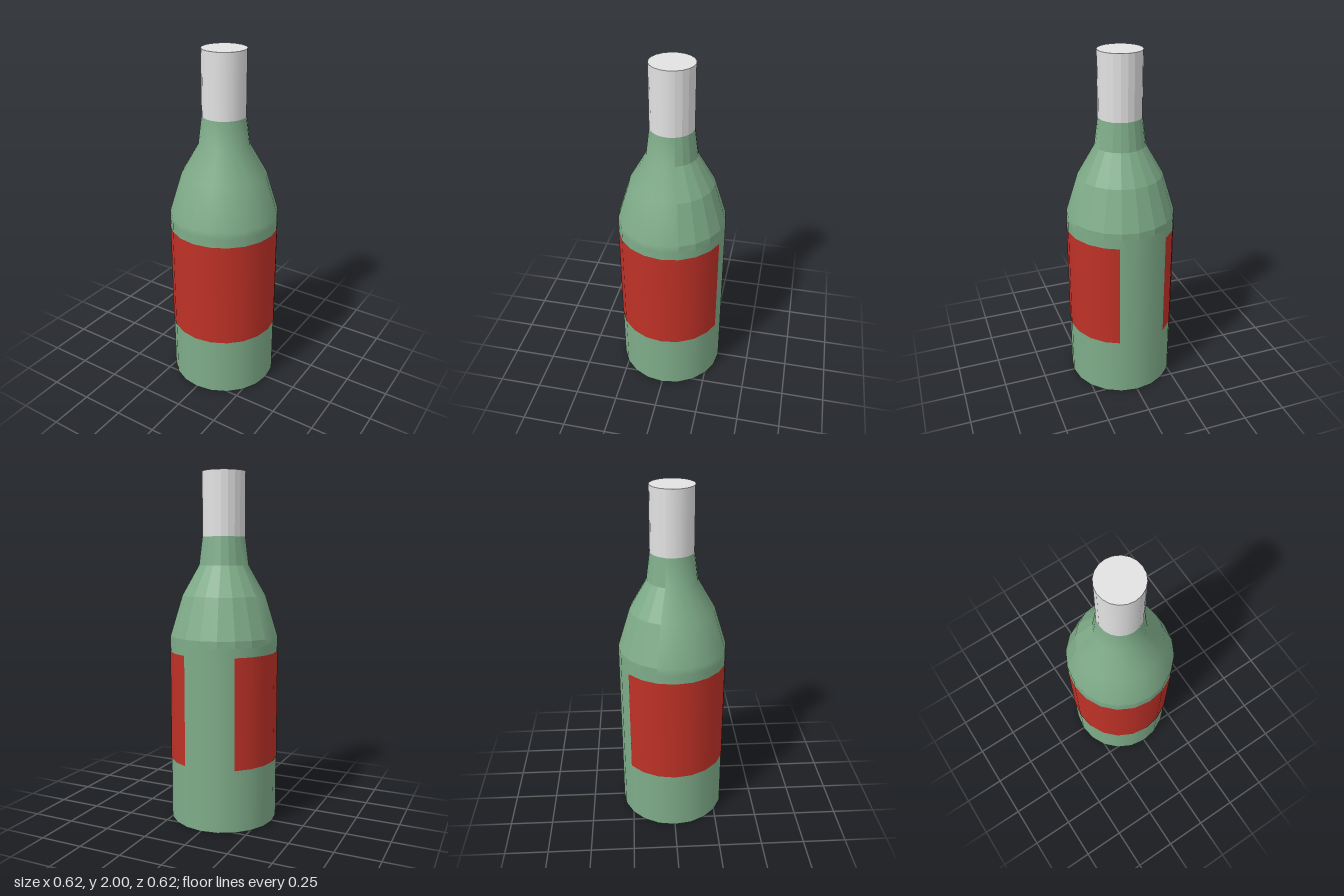
import * as THREE from 'three';

const SIDES = 20, RADIUS = 0.31, NECK = 0.123, STEP = Math.PI * 2 / SIDES;

const glass = new THREE.MeshStandardMaterial({ color: 0x7fac89 });
glass.name = 'green glass';
const paper = new THREE.MeshStandardMaterial({ color: 0xbe3127, side: THREE.DoubleSide });
paper.name = 'red label';
const foil = new THREE.MeshStandardMaterial({ color: 0xe2e2e2 });
foil.name = 'silver foil';

function add(group, name, geometry, material) {
  const mesh = new THREE.Mesh(geometry, material);
  mesh.name = name;
  group.add(mesh);
  return mesh;
}

// Revolves a profile over a run of sides; faceted runs get one normal per face
function turned(profile, firstSide, sides, faceted) {
  const points = profile.map(([r, y]) => new THREE.Vector2(r, y));
  const lathe = new THREE.LatheGeometry(points, sides, firstSide * STEP, sides * STEP);
  if (!faceted) return lathe;
  const flat = lathe.toNonIndexed();
  flat.computeVertexNormals();
  return flat;
}

// Point on the faceted wall at a turn counted in sides from the front
function wallPoint(turn, radius) {
  const k = Math.floor(turn), t = turn - k;
  const a = k * STEP, b = (k + 1) * STEP;
  return [
    radius * THREE.MathUtils.lerp(Math.sin(a), Math.sin(b), t),
    radius * THREE.MathUtils.lerp(Math.cos(a), Math.cos(b), t),
  ];
}

// Thin wrap-around label with an open gap at the back
function labelGeometry(from, to, bottom, top) {
  const turns = [from];
  for (let k = Math.ceil(from); k <= Math.floor(to); k++) turns.push(k);
  turns.push(to);
  const position = [], normal = [], index = [];
  turns.forEach((turn, i) => {
    const [x, z] = wallPoint(turn, RADIUS + 0.002);
    position.push(x, bottom, z, x, top, z);
    const nx = Math.sin(turn * STEP), nz = Math.cos(turn * STEP);
    normal.push(nx, 0, nz, nx, 0, nz);
    if (i > 0) {
      const a = 2 * i - 2;
      index.push(a, a + 2, a + 1, a + 2, a + 3, a + 1);
    }
  });
  const geometry = new THREE.BufferGeometry();
  geometry.setAttribute('position', new THREE.Float32BufferAttribute(position, 3));
  geometry.setAttribute('normal', new THREE.Float32BufferAttribute(normal, 3));
  geometry.setIndex(index);
  return geometry;
}

function disc(radius, y, up) {
  const geometry = new THREE.CircleGeometry(radius, SIDES);
  geometry.rotateX(up ? -Math.PI / 2 : Math.PI / 2);
  geometry.translate(0, y, 0);
  return geometry;
}

export function createModel() {
  const bottle = new THREE.Group();
  bottle.name = 'bottle';

  // Straight body and base
  add(bottle, 'body', turned([[RADIUS, 0], [RADIUS, 1.04]], 0, SIDES, false), glass);
  add(bottle, 'base', disc(RADIUS, 0, false), glass);

  // Shoulder and foil neck: smooth at the front, faceted at the back
  const shoulder = [[RADIUS, 1.04], [RADIUS, 1.08], [0.24, 1.31], [0.143, 1.48], [NECK, 1.64]];
  const neck = [[NECK, 1.64], [NECK, 2]];
  for (const [side, first, sides, faceted] of [['Front', -6, 12, false], ['Back', 6, 8, true]]) {
    add(bottle, 'shoulder' + side, turned(shoulder, first, sides, faceted), glass);
    add(bottle, 'foilNeck' + side, turned(neck, first, sides, faceted), foil);
  }
  add(bottle, 'foilTop', disc(NECK, 2, true), foil);

  // Label ends a little further round on the left than on the right
  add(bottle, 'label', labelGeometry(-8.03, 8.9, 0.36, 0.99), paper);
  return bottle;
}
